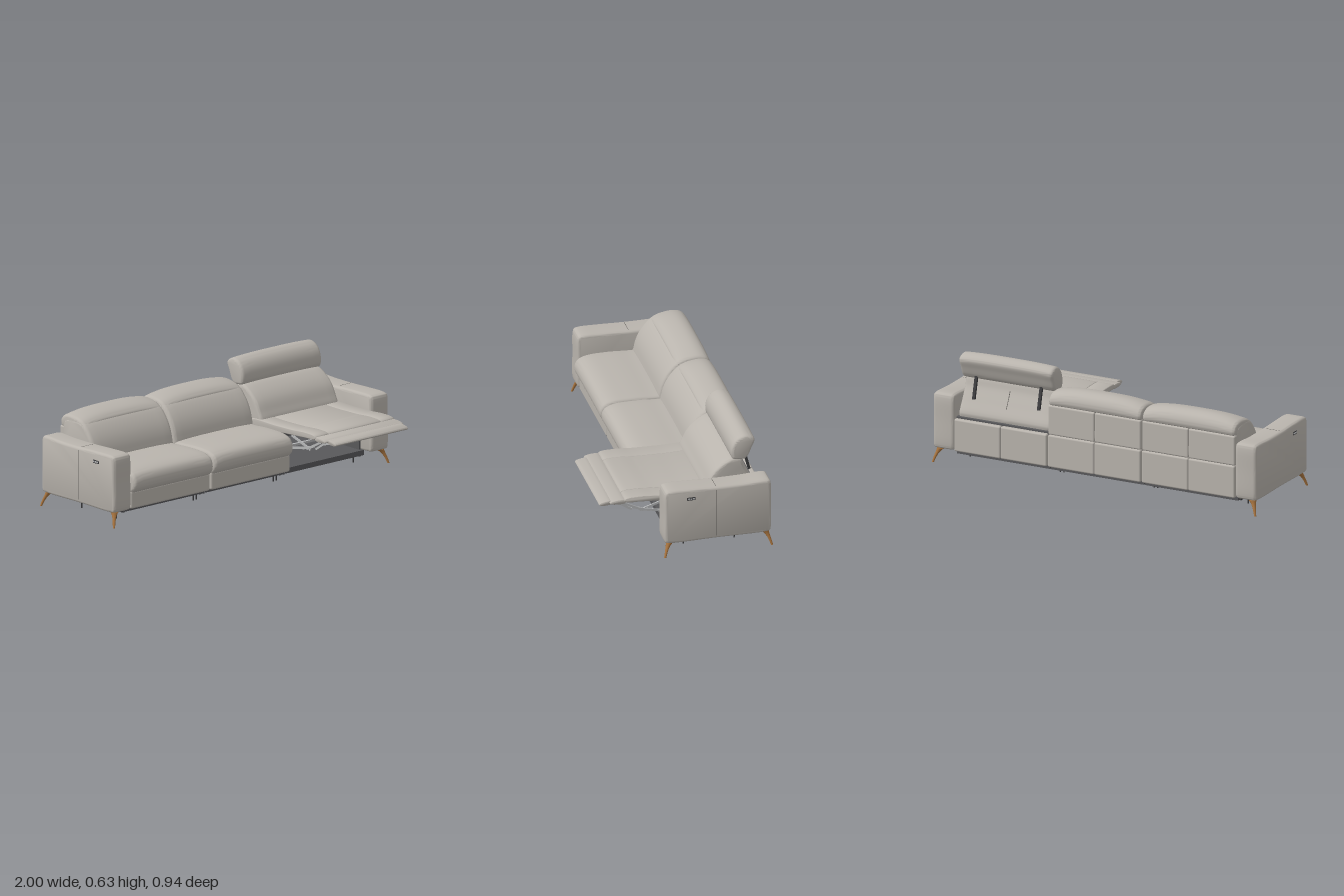
import * as THREE from 'three';
import { toCreasedNormals } from 'three/addons/utils/BufferGeometryUtils.js';
import { RoundedBoxGeometry } from 'three/addons/geometries/RoundedBoxGeometry.js';

const material = (name, color) => {
  const m = new THREE.MeshStandardMaterial({ color });
  m.name = name;
  return m;
};

export function createModel() {
  const model = new THREE.Group();
  model.name = 'recliningSofa';
  const leather = material('greyLeather', 0xb9b4ad);
  const seamGrey = material('seam', 0x6a6763);
  const dark = material('darkLining', 0x58585a);
  const wood = material('wood', 0xa8743f);
  const steel = material('steel', 0xb4b5b6);
  const black = material('darkMetal', 0x3c3c3e);

  const add = (name, geometry, mat, x = 0, y = 0, z = 0) => {
    const mesh = new THREE.Mesh(geometry, mat);
    mesh.name = name;
    mesh.position.set(x, y, z);
    model.add(mesh);
    return mesh;
  };

  // box given by its limits, optionally rounded
  const block = (name, mat, x0, x1, y0, y1, z0, z1, r = 0) => {
    const s = [x1 - x0, y1 - y0, z1 - z0];
    const g = r ? new RoundedBoxGeometry(...s, 3, r) : new THREE.BoxGeometry(...s);
    return add(name, g, mat, (x0 + x1) / 2, (y0 + y1) / 2, (z0 + z1) / 2);
  };

  // upholstered piece: a smooth [z, y] outline swept across x, with soft ends and a crowned top
  const cushion = (name, x0, x1, outline, { bevel = 0.018, crown = 0, mat = leather } = {}) => {
    const curve = new THREE.CatmullRomCurve3(
      outline.map(([z, y]) => new THREE.Vector3(z, y, 0)), true, 'centripetal');
    const points = curve.getPoints(outline.length * 5).slice(0, -1);
    const shape = new THREE.Shape(points.map((p) => new THREE.Vector2(p.x, p.y)));
    const width = x1 - x0;
    const g = new THREE.ExtrudeGeometry(shape, {
      depth: width - 2 * bevel, steps: crown ? 12 : 1, curveSegments: 1,
      bevelEnabled: true, bevelSize: bevel * 0.8, bevelThickness: bevel,
      bevelOffset: -bevel * 0.8, bevelSegments: 4,
    });
    g.translate(0, 0, bevel - width / 2);
    g.rotateY(-Math.PI / 2);
    if (crown) {
      g.computeBoundingBox();
      const { min, max } = g.boundingBox;
      const p = g.attributes.position;
      for (let i = 0; i < p.count; i++) {
        const side = Math.min(1, Math.abs(p.getX(i)) / (width / 2));
        const up = (p.getY(i) - min.y) / (max.y - min.y);
        p.setY(i, p.getY(i) - crown * up * side ** 3);
      }
    }
    return add(name, toCreasedNormals(g, 0.7), mat, (x0 + x1) / 2);
  };

  // flat bar between two [z, y] points
  const bar = (name, mat, x, a, b, thick = 0.012, wide = 0.008) => {
    const dz = b[0] - a[0], dy = b[1] - a[1];
    const mesh = add(name, new THREE.BoxGeometry(wide, thick, Math.hypot(dz, dy)), mat,
      x, (a[1] + b[1]) / 2, (a[0] + b[0]) / 2);
    mesh.rotation.x = -Math.atan2(dy, dz);
  };

  // arms, seams, control panels and wooden legs, mirrored
  const armOutline = [
    [0.115, 0.08], [0.134, 0.086], [0.14, 0.105], [0.14, 0.25], [0.139, 0.37], [0.132, 0.392],
    [0.11, 0.4], [0, 0.4], [-0.15, 0.395], [-0.3, 0.395], [-0.435, 0.4], [-0.453, 0.394],
    [-0.46, 0.375], [-0.461, 0.25], [-0.46, 0.105], [-0.454, 0.086], [-0.435, 0.08], [-0.15, 0.08],
  ];
  for (const s of [-1, 1]) {
    const span = (a, b) => [Math.min(s * a, s * b), Math.max(s * a, s * b)];
    cushion('arm', ...span(0.867, 0.995), armOutline, { bevel: 0.02 });
    block('armSideSeam', seamGrey, ...span(0.99, 0.9955), 0.1, 0.38, -0.1515, -0.149);
    block('armTopSeam', seamGrey, ...span(0.89, 0.975), 0.39, 0.3957, -0.1515, -0.149);
    block('controlPanel', black, ...span(0.99, 0.997), 0.335, 0.353, -0.031, 0.015, 0.002);
    for (const z of [-0.022, -0.008, 0.006])
      block('controlButton', steel, ...span(0.992, 0.9985), 0.34, 0.348, z - 0.005, z + 0.005);

    for (const front of [true, false]) {
      // splayed leg: a cylinder whose rings shrink and drift outwards towards the floor
      const dir = front ? 1 : -1;
      const g = new THREE.CylinderGeometry(1, 1, 0.08, 14, 10);
      const p = g.attributes.position;
      for (let i = 0; i < p.count; i++) {
        const t = (p.getY(i) + 0.04) / 0.08;
        const r = 0.006 + 0.005 * t + 0.012 * t ** 5;
        const out = -0.022 * t - 0.012 * t ** 3;
        p.setX(i, p.getX(i) * r + s * out);
        p.setZ(i, p.getZ(i) * r + dir * out);
      }
      g.computeVertexNormals();
      add('woodenLeg', g, wood, s * 0.993, 0.04, front ? 0.138 : -0.463);
    }
  }

  // shared outlines for the two upright seats
  const seatOutline = [
    [-0.25, 0.165], [0.1, 0.165], [0.14, 0.178], [0.16, 0.205], [0.163, 0.24],
    [0.145, 0.277], [0.1, 0.297], [0, 0.303], [-0.12, 0.297], [-0.25, 0.28],
  ];
  const backOutline = [
    [-0.17, 0.26], [-0.172, 0.32], [-0.195, 0.39], [-0.235, 0.45], [-0.275, 0.485],
    [-0.32, 0.495], [-0.42, 0.48], [-0.44, 0.4], [-0.44, 0.26], [-0.3, 0.24],
  ];
  const rollOutline = [
    [-0.262, 0.475], [-0.285, 0.502], [-0.33, 0.52], [-0.395, 0.526], [-0.438, 0.508],
    [-0.457, 0.47], [-0.45, 0.437], [-0.42, 0.425], [-0.36, 0.44], [-0.3, 0.46],
  ];
  const seats = [[-0.864, -0.29], [-0.284, 0.288], [0.294, 0.866]];

  seats.forEach(([x0, x1], i) => {
    const mid = (x0 + x1) / 2;
    // underframe, rear panels and slim support legs
    block('underframe', dark, x0, x1, 0.056, 0.085, -0.42, 0.08);
    for (const [a, b] of [[x0, mid], [mid, x1]]) {
      block('rearLowerPanel', leather, a + 0.0005, b - 0.0005, 0.08, 0.265, -0.462, -0.43, 0.01);
      if (i < 2)
        block('rearUpperPanel', leather, a + 0.0005, b - 0.0005, 0.265, 0.435, -0.458, -0.42, 0.01);
    }
    for (const x of [x0 + 0.008, x1 - 0.008]) {
      block('underframeRail', black, x - 0.006, x + 0.006, 0.046, 0.058, -0.38, 0.06);
      for (const z of [0, -0.285])
        add('supportLeg', new THREE.CylinderGeometry(0.006, 0.004, 0.06, 10), black, x, 0.03, z);
    }
    if (i === 2) return;

    // upright seat
    block('seatBody', leather, x0, x1, 0.08, 0.18, -0.44, 0.132, 0.012);
    cushion('seatCushion', x0, x1, seatOutline, { crown: 0.008, bevel: 0.022 });
    cushion('backCushion', x0, x1, backOutline, { crown: 0.008, bevel: 0.022 });
    cushion('headRoll', x0 + 0.002, x1 - 0.002, rollOutline, { crown: 0.025, bevel: 0.02 });
  });

  // reclined seat: lining and frame inside the open base
  const [rx0, rx1] = seats[2];
  block('innerBackLining', dark, rx0, rx1, 0.085, 0.27, -0.43, -0.4);
  block('innerSeatPanel', leather, 0.38, 0.8, 0.19, 0.27, -0.2, -0.18);
  block('frontCrossbar', steel, rx0 + 0.02, rx1 - 0.02, 0.168, 0.18, -0.02, -0.005);
  block('rearCrossbar', black, rx0 + 0.02, rx1 - 0.02, 0.26, 0.28, -0.1, -0.08);
  for (const x of [rx0 + 0.012, rx1 - 0.012])
    block('sideFrame', dark, x - 0.006, x + 0.006, 0.085, 0.28, -0.4, 0.06);

  // reclined seat: extended pad in three strips
  const padOutline = [
    [-0.22, 0.27], [0, 0.278], [0.14, 0.286], [0.25, 0.293], [0.32, 0.297], [0.334, 0.308],
    [0.325, 0.321], [0.25, 0.327], [0.14, 0.32], [0, 0.316], [-0.22, 0.305],
  ];
  for (const [a, b] of [[rx0, 0.394], [0.394, 0.77], [0.77, rx1]])
    cushion('extendedSeatPad', a, b, padOutline, { bevel: 0.007 });

  // folding footrest flaps
  cushion('footrestFlap', rx0 + 0.002, rx1 - 0.004, [
    [0.325, 0.294], [0.4, 0.293], [0.413, 0.302], [0.4, 0.311], [0.325, 0.312]], { bevel: 0.006 });
  cushion('footrestTip', 0.32, 0.846, [
    [0.4, 0.29], [0.46, 0.284], [0.47, 0.293], [0.46, 0.302], [0.4, 0.308]], { bevel: 0.006 });

  // footrest linkage on both sides
  const links = [
    [[0.42, 0.291], [0.34, 0.268]], [[0.345, 0.285], [0.215, 0.218]],
    [[0.34, 0.268], [0.28, 0.228]], [[0.28, 0.246], [0.18, 0.213]],
    [[0.235, 0.215], [0.08, 0.265]], [[0.2, 0.222], [0.02, 0.18]],
  ];
  for (const s of [-1, 1]) {
    const x = (rx0 + rx1) / 2 + s * 0.235;
    links.forEach(([a, b], k) => bar('footrestLink', steel, x + s * 0.009 * (k % 2), a, b));
    bar('headrestStrut', black, (rx0 + rx1) / 2 + s * 0.2, [-0.39, 0.37], [-0.352, 0.52], 0.014, 0.016);
  }

  // reclined back in two rear sections, with the raised headrest
  const reclinedOutline = [
    [-0.12, 0.3], [-0.14, 0.36], [-0.17, 0.415], [-0.22, 0.462], [-0.28, 0.492],
    [-0.325, 0.485], [-0.345, 0.43], [-0.38, 0.36], [-0.415, 0.28], [-0.39, 0.25], [-0.2, 0.26],
  ];
  cushion('reclinedBack', rx0 + 0.004, rx1 - 0.004, reclinedOutline, { crown: 0.008 });
  bar('reclinedBackSeam', seamGrey, (rx0 + rx1) / 2, [-0.4, 0.315], [-0.345, 0.432], 0.004, 0.003);
  cushion('headrest', rx0 - 0.002, rx1 + 0.004, [
    [-0.31, 0.476], [-0.277, 0.485], [-0.268, 0.53], [-0.279, 0.577], [-0.305, 0.61],
    [-0.345, 0.626], [-0.385, 0.615], [-0.402, 0.594], [-0.385, 0.545], [-0.362, 0.492], [-0.345, 0.478],
  ], { crown: 0.008, bevel: 0.02 });

  return model;
}
